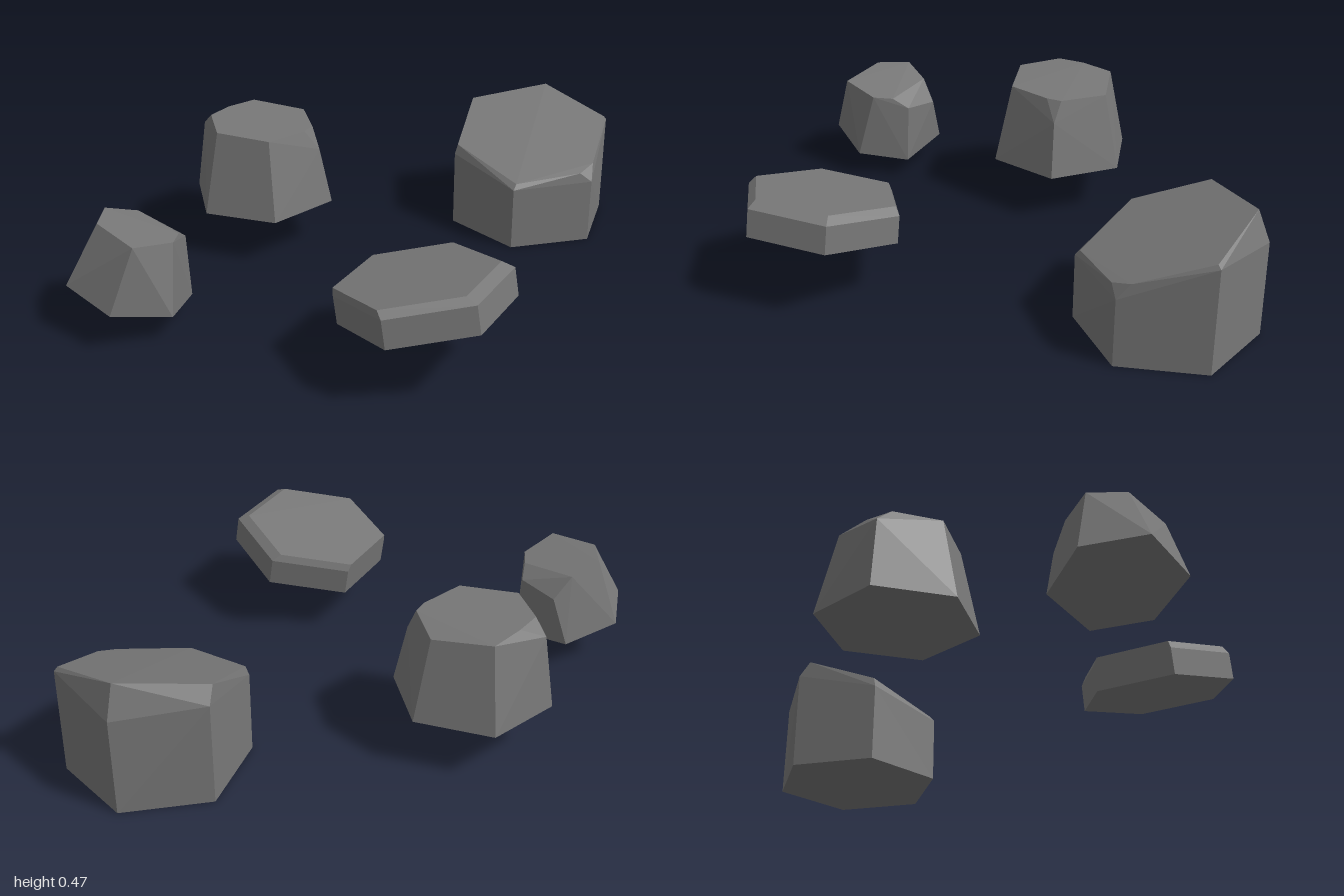
import * as THREE from 'three';
import { ConvexGeometry } from 'three/addons/geometries/ConvexGeometry.js';

const stone = new THREE.MeshStandardMaterial({ color: 0x777777, flatShading: true });
stone.name = 'stone grey';

// Hexagonal ring whose height follows the plane y = y0 + sx * dx + sz * dz
function hexRing(cx, cz, radius, startDeg, y0, sx = 0, sz = 0) {
  const ring = [];
  for (let i = 0; i < 6; i++) {
    const a = THREE.MathUtils.degToRad(startDeg + i * 60);
    const dx = radius * Math.cos(a), dz = radius * Math.sin(a);
    ring.push(new THREE.Vector3(cx + dx, y0 + sx * dx + sz * dz, cz + dz));
  }
  return ring;
}

const points = (list) => list.map((p) => new THREE.Vector3(...p));

// A faceted rock is the hull of its base, rim and crown
function rock(name, ...rings) {
  const mesh = new THREE.Mesh(new ConvexGeometry(rings.flat()), stone);
  mesh.name = name;
  return mesh;
}

export function createModel() {
  const group = new THREE.Group();
  group.name = 'rocks';

  // Tall block with a sloping top, chipped at the right, back and front corners
  group.add(rock('slopedRock',
    hexRing(0.74, 0.005, 0.297, 30, 0),
    points([
      [0.997, 0.33, -0.14], [0.997, 0.365, 0.153], [0.74, 0.235, 0.302],
      [0.483, 0.23, 0.153], [0.483, 0.28, -0.143], [0.74, 0.35, -0.292],
    ]),
    points([
      [0.96, 0.44, -0.12], [0.985, 0.378, 0.15], [0.775, 0.29, 0.275], [0.705, 0.27, 0.275],
      [0.5, 0.25, 0.15], [0.495, 0.315, -0.14], [0.71, 0.405, -0.27],
    ])));

  // Tapered stump with two chipped corners
  group.add(rock('taperedRock',
    hexRing(-0.1, -0.553, 0.263, 0, 0.17),
    points([[0.01, 0.37, -0.362], [-0.21, 0.42, -0.748]]),
    points([
      [0.098, 0.443, -0.553], [0.012, 0.446, -0.4], [-0.04, 0.448, -0.383], [-0.2, 0.453, -0.383],
      [-0.295, 0.462, -0.553], [-0.217, 0.466, -0.695], [-0.12, 0.466, -0.717], [0, 0.458, -0.724],
    ])));

  // Thin tilted slab with a bevelled upper edge
  group.add(rock('flatRock',
    hexRing(-0.298, 0.503, 0.277, 41, 0.208, 0.03, 0.21),
    hexRing(-0.3, 0.487, 0.276, 41, 0.301, 0.03, 0.21),
    hexRing(-0.31, 0.467, 0.256, 41, 0.321, 0.03, 0.21)));

  // Small leaning stone
  group.add(rock('leaningRock',
    points([
      [-0.835, 0.145, -0.56], [-0.655, 0.095, -0.487], [-0.632, 0.065, -0.272],
      [-0.785, 0.088, -0.16], [-0.97, 0.135, -0.23], [-0.997, 0.17, -0.44],
    ]),
    points([[-0.635, 0.26, -0.43], [-0.632, 0.28, -0.285]]),
    points([
      [-0.89, 0.375, -0.39], [-0.805, 0.37, -0.48], [-0.7, 0.335, -0.45],
      [-0.68, 0.318, -0.25], [-0.735, 0.325, -0.2], [-0.88, 0.355, -0.205],
    ])));

  return group;
}
